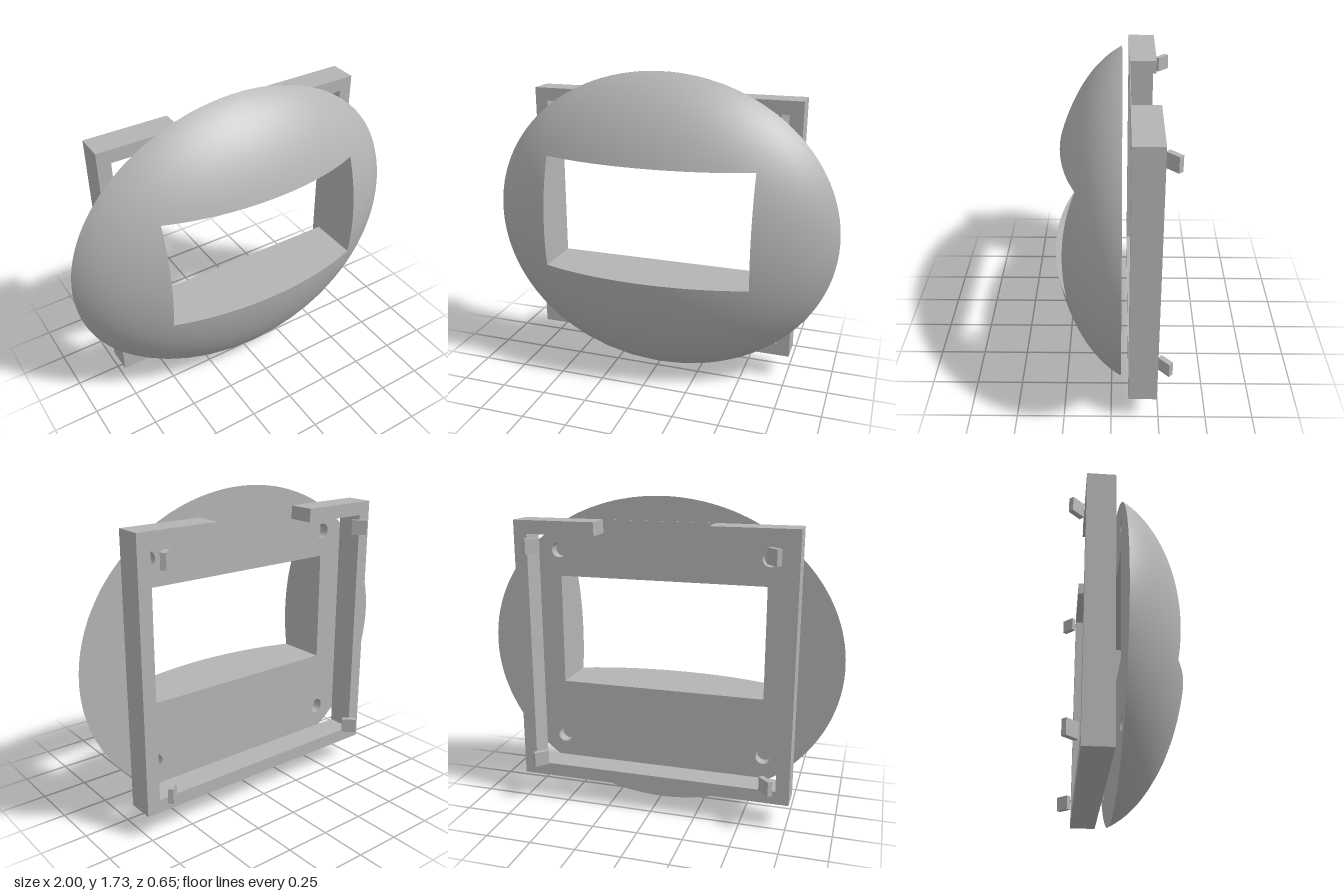
import * as THREE from 'three';

const RX = 1, RY = 0.863, CY = 0.864, BACK = -0.05;
const WIN = { x: 0.58, y0: 0.655, y1: 1.275 };

// Height of the bulging front surface over the flat back
function domeZ(x, y) {
  const r2 = Math.min(1, (x / RX) ** 2 + ((y - CY) / RY) ** 2);
  return BACK + 0.538 * (Math.sqrt(1 - 0.92 * r2) - Math.sqrt(0.08));
}

// Points around the window, anticlockwise seen from the front
function windowLoop(n) {
  const c = [[WIN.x, WIN.y0], [WIN.x, WIN.y1], [-WIN.x, WIN.y1], [-WIN.x, WIN.y0]];
  const pts = [];
  for (let s = 0; s < 4; s++) {
    const a = c[s], b = c[(s + 1) % 4];
    for (let i = 0; i < n; i++) {
      const t = i / n;
      pts.push([a[0] + (b[0] - a[0]) * t, a[1] + (b[1] - a[1]) * t]);
    }
  }
  return pts;
}

// Smooth surface between the window edge and the oval rim
function domeGeometry(loop, rings) {
  const n = loop.length, pos = [], idx = [];
  for (let r = 0; r <= rings; r++) {
    const t = 1 - (1 - r / rings) ** 1.5;
    for (const [x, y] of loop) {
      const k = 1 / Math.hypot(x / RX, (y - CY) / RY);
      const px = x + (x * k - x) * t;
      const py = y + ((y - CY) * k + CY - y) * t;
      pos.push(px, py, domeZ(px, py));
    }
  }
  for (let r = 0; r < rings; r++) {
    for (let i = 0; i < n; i++) {
      const j = (i + 1) % n, a = r * n + i, b = r * n + j;
      idx.push(a, a + n, b, b, a + n, b + n);
    }
  }
  const g = new THREE.BufferGeometry();
  g.setAttribute('position', new THREE.Float32BufferAttribute(pos, 3));
  g.setIndex(idx);
  g.computeVertexNormals();
  return g;
}

// Straight walls of the window tunnel
function tunnelGeometry(loop) {
  const pos = [];
  loop.forEach(([x, y], i) => {
    const [u, v] = loop[(i + 1) % loop.length];
    const z = domeZ(x, y), w = domeZ(u, v);
    pos.push(x, y, BACK, x, y, z, u, v, w, x, y, BACK, u, v, w, u, v, BACK);
  });
  const g = new THREE.BufferGeometry();
  g.setAttribute('position', new THREE.Float32BufferAttribute(pos, 3));
  g.computeVertexNormals();
  return g;
}

export function createModel() {
  const model = new THREE.Group();
  const grey = new THREE.MeshStandardMaterial({ color: 0xb4b4b4, side: THREE.DoubleSide });
  grey.name = 'grey';
  const add = (name, geometry, x = 0, y = 0, z = 0) => {
    const m = new THREE.Mesh(geometry, grey);
    m.name = name;
    m.position.set(x, y, z);
    model.add(m);
    return m;
  };

  // Oval front cover with its window
  const loop = windowLoop(28);
  add('frontCover', domeGeometry(loop, 24));
  add('windowTunnel', tunnelGeometry(loop));

  // Flat back of the cover with four blind screw holes
  const holes = [];
  for (const x of [-0.59, 0.59]) for (const y of [0.32, 1.42]) holes.push([x, y]);
  const plate = new THREE.Shape().absellipse(0, CY, RX, RY, 0, Math.PI * 2);
  plate.holes.push(new THREE.Path([
    [-WIN.x, WIN.y0], [-WIN.x, WIN.y1], [WIN.x, WIN.y1], [WIN.x, WIN.y0],
  ].map(p => new THREE.Vector2(...p))));
  for (const [x, y] of holes) {
    plate.holes.push(new THREE.Path().absarc(x, y, 0.042, 0, Math.PI * 2, true));
  }
  add('coverBack', new THREE.ShapeGeometry(plate, 56).rotateY(Math.PI), 0, 0, BACK);

  const depth = 0.06;
  for (const [x, y] of holes) {
    const wall = new THREE.CylinderGeometry(0.042, 0.042, depth, 32, 1, true);
    // Turned inside out so the hole wall faces inward
    wall.index.array.reverse();
    const normals = wall.attributes.normal;
    for (let i = 0; i < normals.count; i++) {
      normals.setXYZ(i, -normals.getX(i), 0, -normals.getZ(i));
    }
    add('screwHoleWall', wall.rotateX(Math.PI / 2), x, y, BACK + depth / 2);
    add('screwHoleFloor', new THREE.CircleGeometry(0.042, 32).rotateY(Math.PI), x, y, BACK + depth);
  }

  // Rear frame, open in the middle of its top bar
  const X = 0.763, B = 0.14, T = 1.6, W = 0.073, G = 0.307;
  const frame = new THREE.Shape([
    [-G, T], [-X, T], [-X, B], [X, B], [X, T], [G, T], [G, T - W], [X - W, T - W],
    [X - W, B + W], [-X + W, B + W], [-X + W, T - W], [-G, T - W],
  ].map(p => new THREE.Vector2(...p)));
  add('rearFrame', new THREE.ExtrudeGeometry(frame, { depth: 0.15, bevelEnabled: false }), 0, 0, -0.24);
  // Thin lip across the gap
  add('frameLip', new THREE.BoxGeometry(G * 2, W, 0.004), 0, T - W / 2, -0.092);

  // Slanted clips at the four corners
  for (const side of [-1, 1]) {
    for (const y of [0.26, 1.47]) {
      const clip = add('clip', new THREE.BoxGeometry(0.029, 0.082, 0.082), side * 0.642, y, -0.285);
      clip.rotation.y = -side * Math.PI / 4;
    }
  }
  return model;
}
